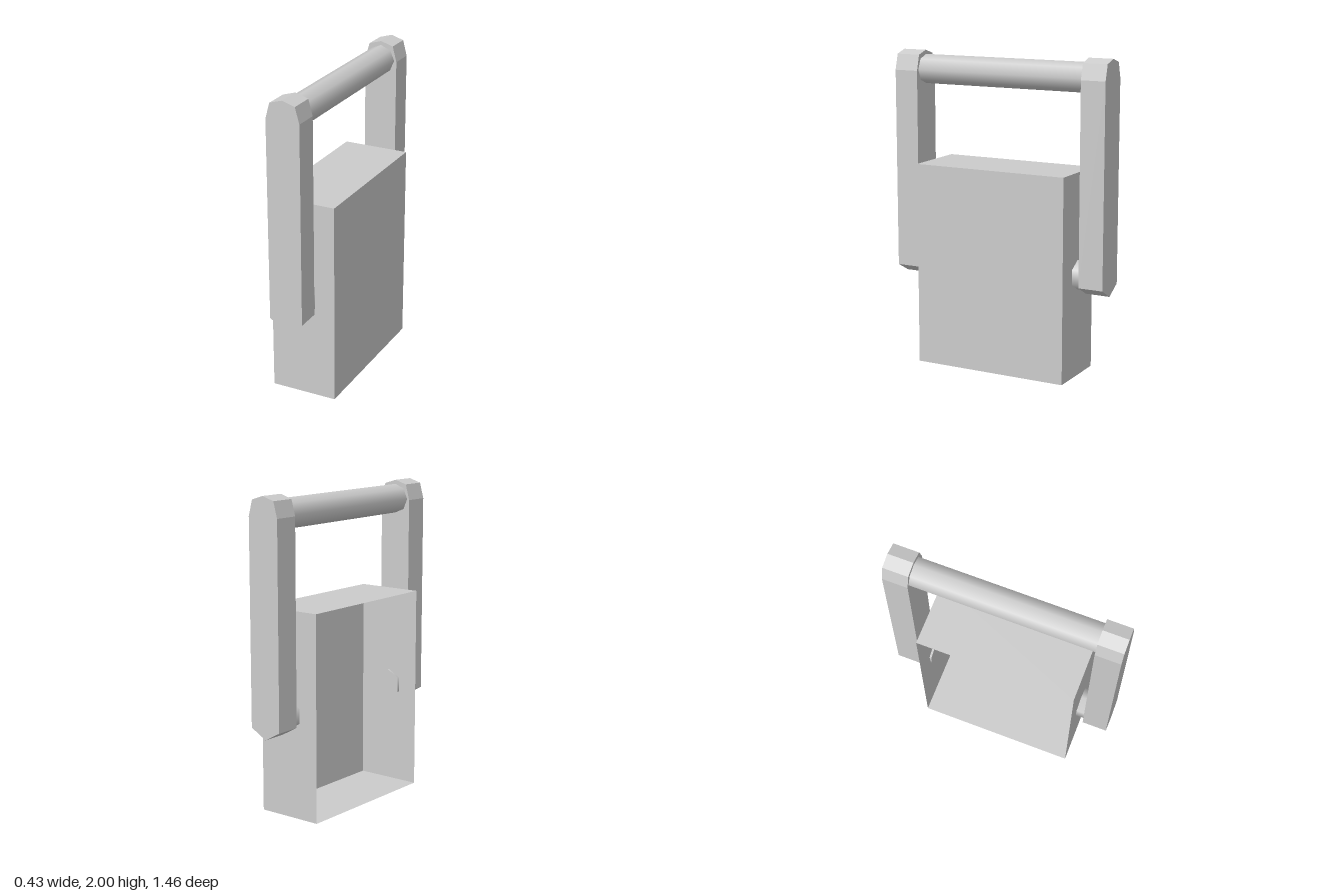
import * as THREE from 'three';

export function createModel() {
  const model = new THREE.Group();
  const material = new THREE.MeshStandardMaterial({ color: 0xcccccc });
  const thin = new THREE.MeshStandardMaterial({ color: 0xcccccc, side: THREE.DoubleSide });

  function add(name, geometry, mat, x, y, z) {
    const mesh = new THREE.Mesh(geometry, mat);
    mesh.name = name;
    mesh.position.set(x, y, z);
    model.add(mesh);
    return mesh;
  }

  // Thin-walled case, open on the -x side
  const W = 0.43, H = 1.3, D = 1.026;
  const caseGeometry = new THREE.BoxGeometry(W, H, D);
  const index = Array.from(caseGeometry.index.array);
  index.splice(6, 6); // drop the -x face
  caseGeometry.setIndex(index);
  caseGeometry.clearGroups();
  add('openCase', caseGeometry, thin, 0, H / 2, 0);

  // Side arms: rounded at the top, pointed at the bottom
  const armShape = new THREE.Shape([
    [0, 0.54], [0.109, 0.6], [0.109, 1.875], [0.082, 1.975],
    [0, 2], [-0.082, 1.975], [-0.109, 1.875], [-0.109, 0.6],
  ].map(([x, y]) => new THREE.Vector2(x, y)));
  const armDepth = 0.16;
  const armGeometry = new THREE.ExtrudeGeometry(armShape, { depth: armDepth, bevelEnabled: false });
  armGeometry.translate(0, 0, -armDepth / 2);

  // Hexagonal pivot pins, passing just through the case walls
  const pinLength = 0.09;
  const pinGeometry = new THREE.CylinderGeometry(0.095, 0.095, pinLength, 6);
  pinGeometry.rotateX(Math.PI / 2);

  for (const [side, s] of [['front', 1], ['back', -1]]) {
    add(side + 'Arm', armGeometry, material, 0, 0, s * 0.65);
    add(side + 'Pin', pinGeometry, material, 0, 0.655, s * 0.545);
  }

  // Grip bar between the arms
  const barGeometry = new THREE.CylinderGeometry(0.093, 0.093, 1.16, 8);
  barGeometry.rotateX(Math.PI / 2);
  add('gripBar', barGeometry, material, 0, 1.881, 0);

  return model;
}
